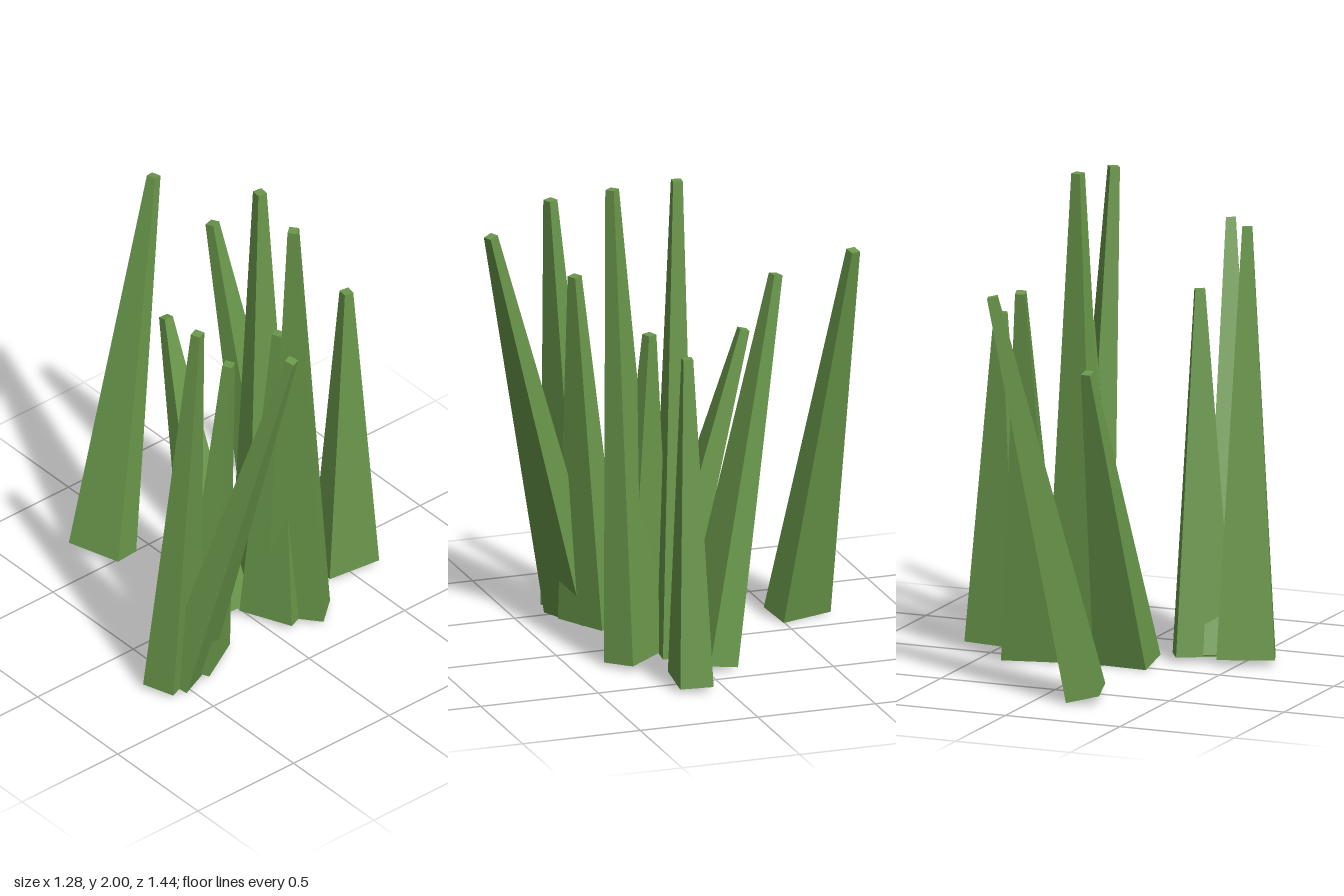
import * as THREE from 'three';

const BASE_W = 0.235, BASE_D = 0.137, TIP = 0.04;

// A blade is a box tapering to a small square tip, leaning from its base to its tip.
// base: [x, z], tip: [x, y, z], wide: [x, z] direction of the wide side of the base
function makeBlade({ base, tip, wide }, material) {
  const start = new THREE.Vector3(base[0], 0.02, base[1]);
  const axis = new THREE.Vector3(...tip).sub(start);
  const length = axis.length();
  axis.normalize();

  const geometry = new THREE.BoxGeometry(BASE_W, length, BASE_D);
  geometry.translate(0, length / 2, 0);
  const p = geometry.attributes.position;
  for (let i = 0; i < p.count; i++) {
    if (p.getY(i) > length / 2) {
      p.setX(i, Math.sign(p.getX(i)) * TIP / 2);
      p.setZ(i, Math.sign(p.getZ(i)) * TIP / 2);
    }
  }
  geometry.computeVertexNormals();

  // Orient the box along the lean, with its wide side in the given direction
  const side = new THREE.Vector3(wide[0], 0, wide[1]);
  side.addScaledVector(axis, -side.dot(axis)).normalize();
  const depth = new THREE.Vector3().crossVectors(side, axis);
  const blade = new THREE.Mesh(geometry, material);
  blade.quaternion.setFromRotationMatrix(new THREE.Matrix4().makeBasis(side, axis, depth));
  blade.position.copy(start);
  return blade;
}

const BLADES = [
  { base: [-0.17, -0.585], tip: [0.19, 1.64, -0.695], wide: [0.07, 0.225] },
  { base: [-0.507, 0.25], tip: [-0.465, 1.765, 0.36], wide: [0.22, -0.09] },
  { base: [-0.445, 0.258], tip: [-0.25, 1.715, 0.69], wide: [0.21, -0.09] },
  { base: [-0.328, 0.235], tip: [-0.273, 1.5, 0.325], wide: [0.205, -0.115] },
  { base: [-0.083, 0.03], tip: [-0.062, 1.27, -0.318], wide: [0.23, 0.012] },
  { base: [0.3, -0.037], tip: [0.213, 1.585, -0.357], wide: [0.23, -0.058] },
  { base: [0.137, 0.052], tip: [0.133, 2.0, 0.035], wide: [0.22, 0.027] },
  { base: [0.515, 0.112], tip: [0.51, 1.375, 0.125], wide: [0.23, 0.03] },
  { base: [0.168, 0.231], tip: [0.09, 1.977, 0.295], wide: [0.148, 0.183] },
  { base: [0.083, 0.178], tip: [0.133, 1.362, 0.152], wide: [0.092, 0.21] },
];

export function createModel() {
  const grassGreen = new THREE.MeshStandardMaterial({ color: 0x6a984b });
  grassGreen.name = 'grassGreen';

  const tuft = new THREE.Group();
  tuft.name = 'grassTuft';
  BLADES.forEach((spec, i) => {
    const blade = makeBlade(spec, grassGreen);
    blade.name = `grassBlade${i + 1}`;
    tuft.add(blade);
  });
  return tuft;
}
